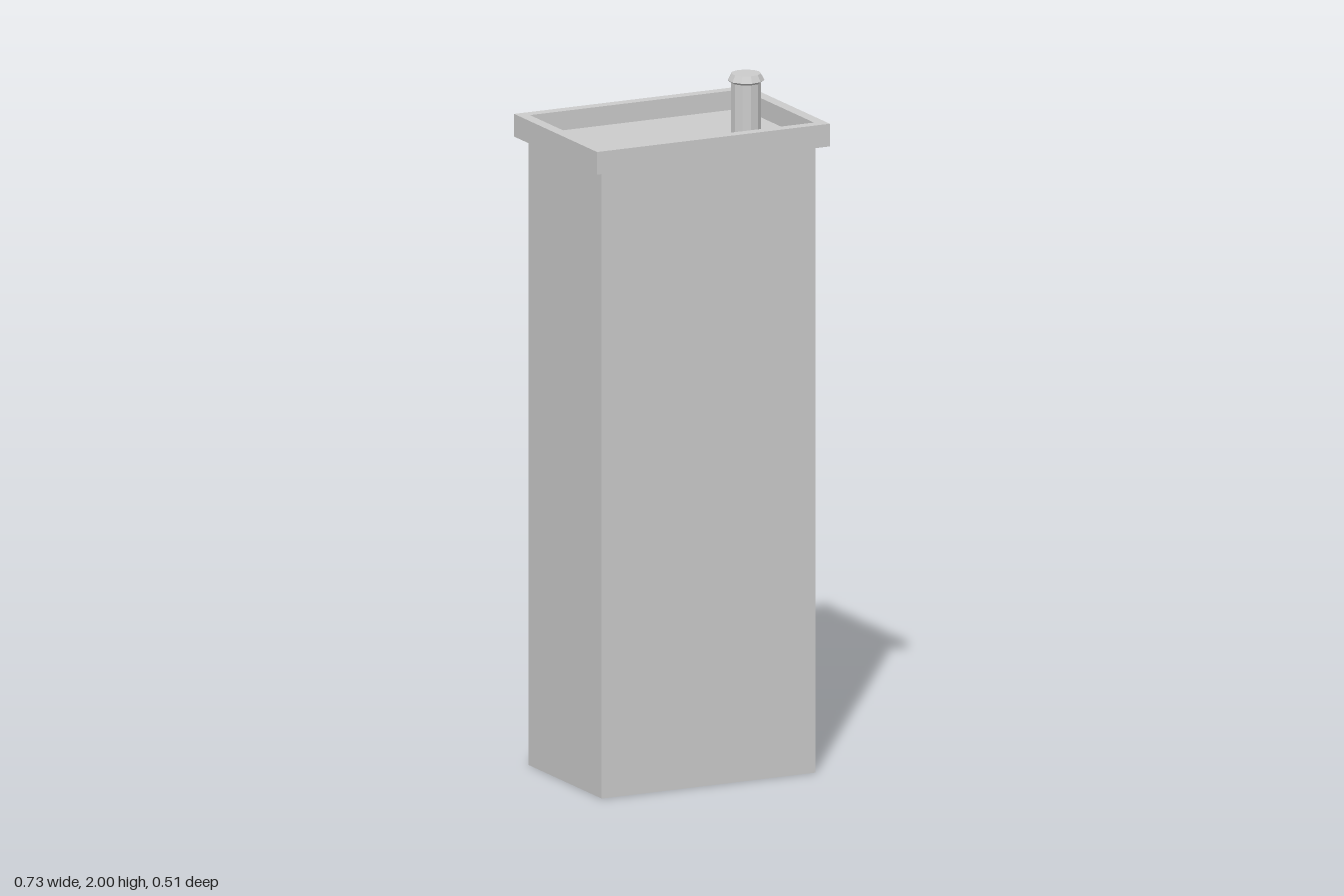
import * as THREE from 'three';

const grey = new THREE.MeshStandardMaterial({ color: 0xcccccc, flatShading: true, side: THREE.DoubleSide });

function add(group, name, geometry, x = 0, y = 0, z = 0) {
  const mesh = new THREE.Mesh(geometry, grey);
  mesh.name = name;
  mesh.position.set(x, y, z);
  group.add(mesh);
}

// Adds a closed rectangle, given its half sizes, to a shape or path
function rectangle(path, hx, hz) {
  path.moveTo(-hx, -hz).lineTo(hx, -hz).lineTo(hx, hz).lineTo(-hx, hz).closePath();
  return path;
}

export function createModel() {
  const model = new THREE.Group();
  model.name = 'chimney';
  const bodyX = 0.335, bodyZ = 0.223, floorY = 1.81;

  // Four thin stack walls, open at the bottom
  const walls = new THREE.CylinderGeometry(Math.SQRT2, Math.SQRT2, floorY, 4, 1, true, Math.PI / 4);
  walls.scale(bodyX, 1, bodyZ);
  add(model, 'stackWalls', walls, 0, floorY / 2);

  // Sunken floor inside the rim
  const floor = new THREE.PlaneGeometry(bodyX * 2, bodyZ * 2).rotateX(-Math.PI / 2);
  add(model, 'stackTop', floor, 0, floorY);

  // Overhanging rim
  const frame = rectangle(new THREE.Shape(), 0.365, 0.253);
  frame.holes.push(rectangle(new THREE.Path(), 0.332, 0.22));
  const rim = new THREE.ExtrudeGeometry(frame, { depth: 0.065, bevelEnabled: false });
  add(model, 'rim', rim.rotateX(-Math.PI / 2), 0, 1.8);

  // Eleven-sided pot with a flared, capped collar
  const profile = [
    [0.042, 1.81], [0.042, 1.974], [0.052, 1.981], [0.042, 2], [0, 2],
  ].map(([r, y]) => new THREE.Vector2(r, y));
  add(model, 'chimneyPot', new THREE.LatheGeometry(profile, 11, Math.PI / 2), 0.177, 0, 0.107);

  return model;
}
